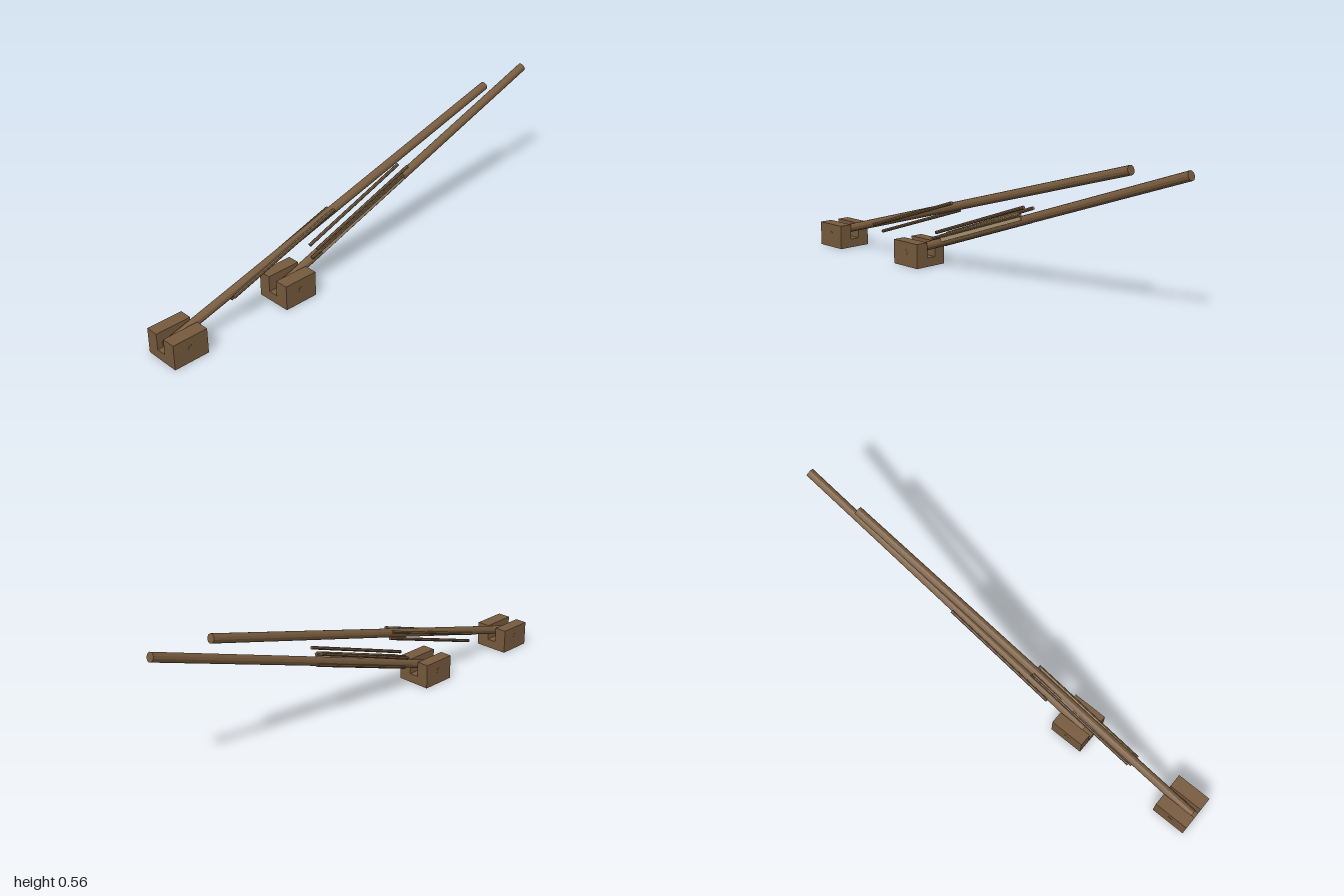
import * as THREE from 'three';

const wood = new THREE.MeshStandardMaterial({ color: 0x765a3d, flatShading: true });
wood.name = 'brown wood';
const pale = new THREE.MeshStandardMaterial({ color: 0xa89272 });
pale.name = 'pale split wood';

const v = (x, y, z) => new THREE.Vector3(x, y, z);

// Round bar between two points
function bar(name, a, b, radius, sides) {
  const dir = b.clone().sub(a);
  const mesh = new THREE.Mesh(new THREE.CylinderGeometry(radius, radius, dir.length(), sides), wood);
  mesh.position.copy(a).add(b).multiplyScalar(0.5);
  mesh.quaternion.setFromUnitVectors(v(0, 1, 0), dir.normalize());
  mesh.name = name;
  return mesh;
}

// Thin flat strip facing sideways, running along a line in the y-z plane
function strip(name, a, b, width) {
  const dir = b.clone().sub(a);
  const mesh = new THREE.Mesh(new THREE.BoxGeometry(0.004, width, dir.length()), pale);
  mesh.position.copy(a).add(b).multiplyScalar(0.5);
  mesh.rotation.x = Math.atan2(dir.y, -dir.z);
  mesh.name = name;
  return mesh;
}

// Slotted foot block with a cross pin
function footBlock(z) {
  const group = new THREE.Group();
  group.name = 'footBlock';
  const outline = new THREE.Shape([
    [-0.077, 0], [0.075, 0], [0.075, 0.105], [0.018, 0.105],
    [0.018, 0.038], [-0.024, 0.038], [-0.024, 0.105], [-0.077, 0.105],
  ].map(([x, y]) => new THREE.Vector2(x, y)));
  const geometry = new THREE.ExtrudeGeometry(outline, { depth: 0.15, bevelEnabled: false });
  geometry.translate(0, 0, -0.075);
  const block = new THREE.Mesh(geometry, wood);
  block.name = 'slottedBlock';
  block.position.z = z;
  group.add(block, bar('crossPin', v(-0.078, 0.06, z), v(0.076, 0.06, z), 0.012, 12));
  return group;
}

export function createModel() {
  const model = new THREE.Group();
  model.name = 'hingedPoles';

  const units = [
    {
      name: 'frontPole', blockZ: 0.925,
      pole: [[0.055, 0.98], [0.53, -0.738]],
      // each stick: x, start y, start z, end y, end z
      sticks: [
        [0.019, 0.13, 0.68, 0.295, 0.17],
        [-0.019, 0.128, 0.68, 0.288, 0.17],
        [-0.018, 0.098, 0.665, 0.262, 0.16],
      ],
      strips: [[0.014, 0.14, 0.66, 0.292, 0.18, 0.012]],
    },
    {
      name: 'rearPole', blockZ: 0.4,
      pole: [[0.056, 0.43], [0.54, -0.994]],
      sticks: [
        [0.021, 0.158, 0.265, 0.333, -0.24],
        [0.019, 0.128, 0.29, 0.3, -0.22],
        [-0.032, 0.148, 0.255, 0.323, -0.24],
        [-0.018, 0.104, 0.25, 0.275, -0.25],
      ],
      strips: [[0.019, 0.137, 0.24, 0.295, -0.22, 0.032]],
    },
  ];

  for (const u of units) {
    const unit = new THREE.Group();
    unit.name = u.name;
    const [[y0, z0], [y1, z1]] = u.pole;
    unit.add(footBlock(u.blockZ), bar('pole', v(-0.003, y0, z0), v(-0.003, y1, z1), 0.0185, 12));
    // Thin splints lying along the pole
    for (const [x, ya, za, yb, zb] of u.sticks) {
      unit.add(bar('splint', v(x, ya, za), v(x, yb, zb), 0.007, 8));
    }
    // Pale wood showing between the splints
    for (const [x, ya, za, yb, zb, w] of u.strips) {
      unit.add(strip('paleStrip', v(x, ya, za), v(x, yb, zb), w));
    }
    model.add(unit);
  }
  return model;
}
